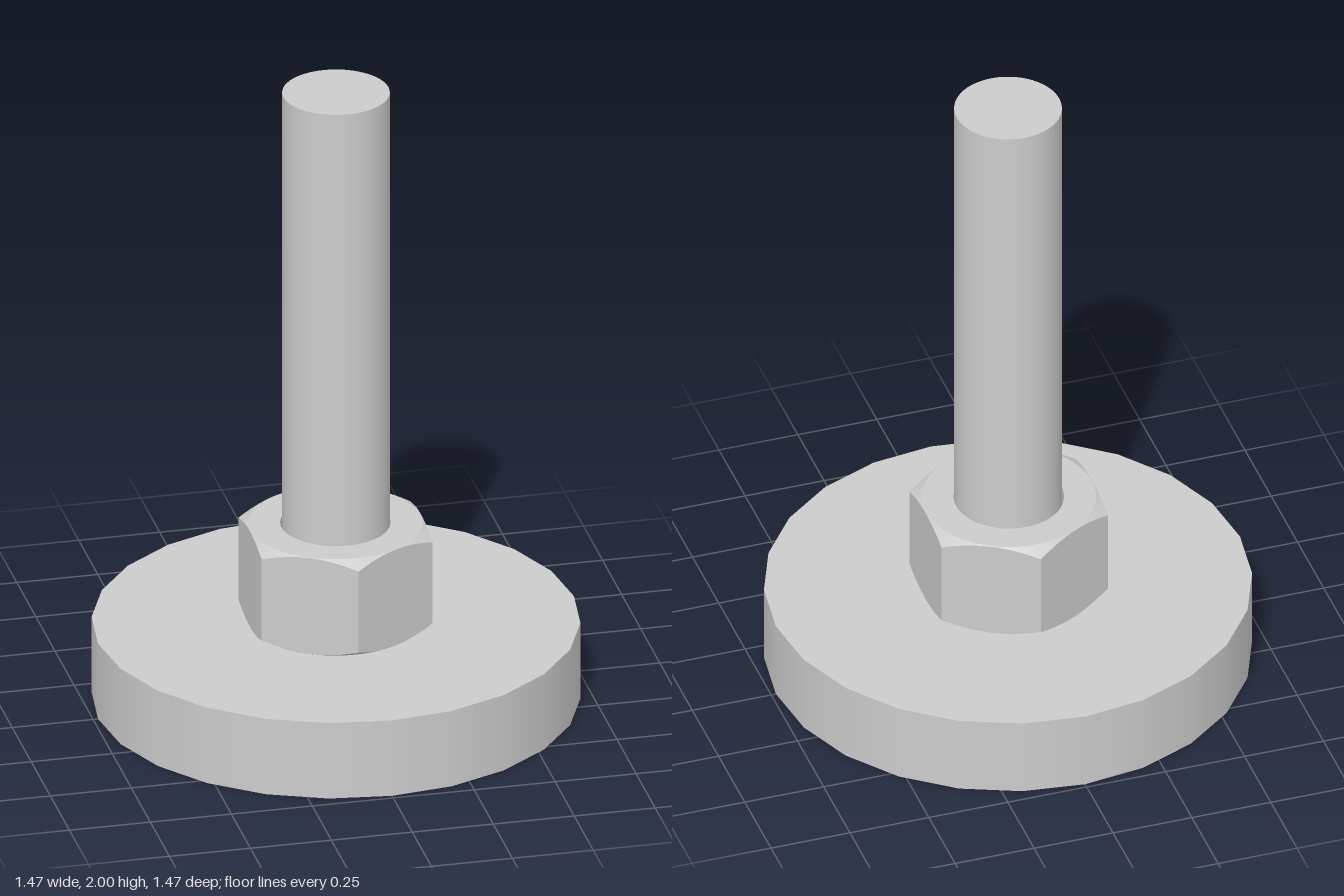
import * as THREE from 'three';
import { toCreasedNormals } from 'three/addons/utils/BufferGeometryUtils.js';

const material = new THREE.MeshStandardMaterial({ color: 0xcccccc });

function cylinder(name, radius, bottom, top, sides) {
  const mesh = new THREE.Mesh(new THREE.CylinderGeometry(radius, radius, top - bottom, sides), material);
  mesh.position.y = (bottom + top) / 2;
  mesh.name = name;
  return mesh;
}

// Hexagonal nut: a lathed ring whose outer wall is pulled onto a hexagon,
// with conical chamfers that cut deepest at the corners
function hexNut(bottom, top, flat, bore) {
  const chamferRadius = flat - 0.002, slope = 0.6;
  const profile = [
    [bore, bottom], [chamferRadius, bottom], [1, bottom],
    [1, top], [chamferRadius, top], [bore, top], [bore, bottom],
  ].map(([r, y]) => new THREE.Vector2(r, y));
  const geometry = new THREE.LatheGeometry(profile, 72);
  const pos = geometry.attributes.position;
  const sector = Math.PI / 3;
  for (let i = 0; i < pos.count; i++) {
    const x = pos.getX(i), y = pos.getY(i), z = pos.getZ(i);
    if (Math.hypot(x, z) < 0.9) continue;
    const angle = Math.atan2(x, z) + 2 * Math.PI;
    const fromFlat = angle - (Math.floor(angle / sector + 1e-6) + 0.5) * sector;
    const r = flat / Math.cos(fromFlat);
    const drop = (r - chamferRadius) * slope;
    pos.setXYZ(i, x * r, y > (bottom + top) / 2 ? y - drop : y + drop, z * r);
  }
  const mesh = new THREE.Mesh(toCreasedNormals(geometry, 0.4), material);
  mesh.name = 'hexNut';
  return mesh;
}

export function createModel() {
  const group = new THREE.Group();
  group.name = 'levelingFoot';

  group.add(cylinder('basePad', 0.735, 0, 0.25, 24));
  group.add(cylinder('rod', 0.162, 0.25, 2, 48));

  // The nut sits slightly off the rod's axis
  const nut = hexNut(0.25, 0.57, 0.264, 0.166);
  nut.position.z = -0.008;
  group.add(nut);

  return group;
}
